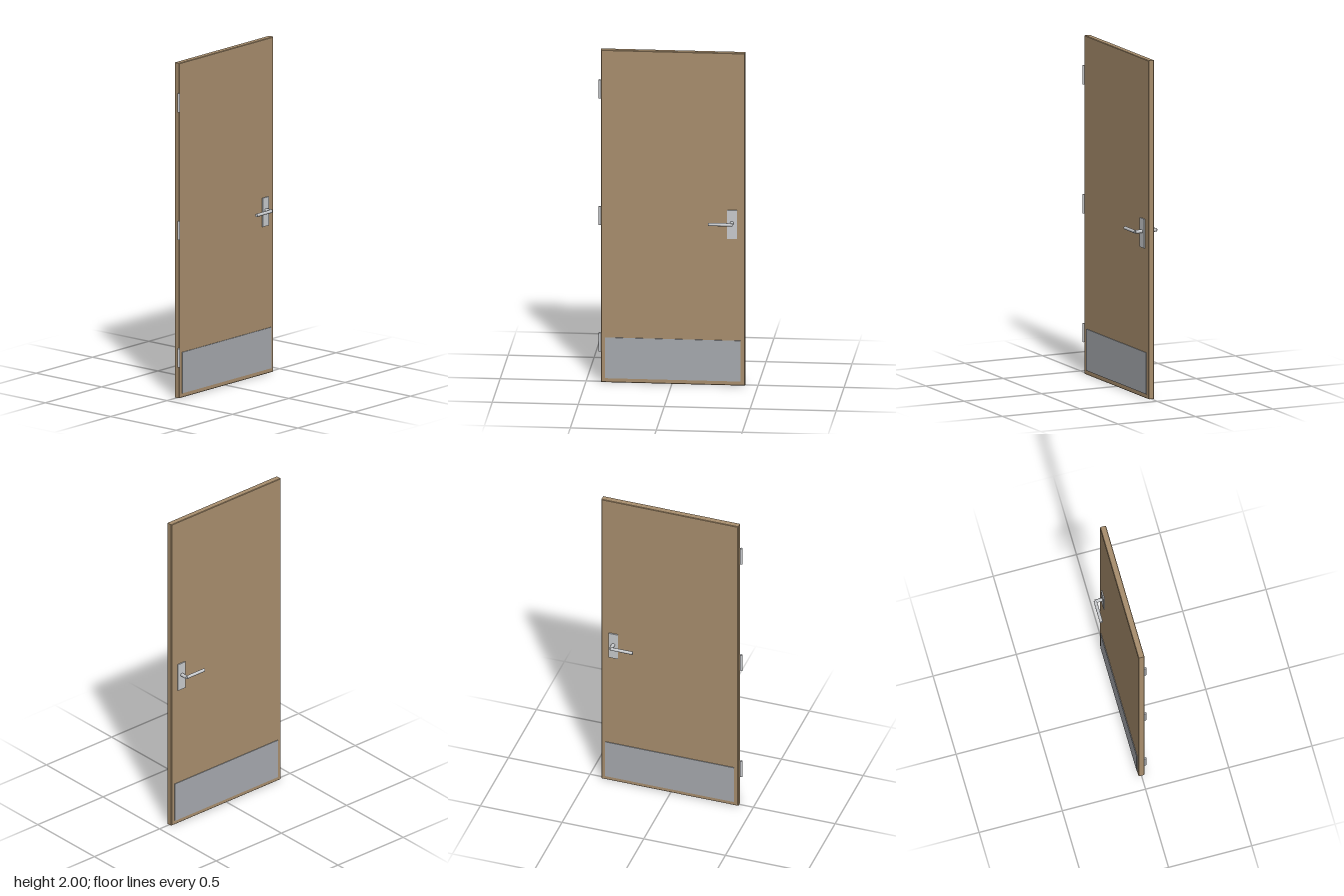
import * as THREE from 'three';

const material = (name, color) => {
  const m = new THREE.MeshStandardMaterial({ color });
  m.name = name;
  return m;
};

export function createModel() {
  const wood = material('wood', 0xa88e6d);
  const plateSteel = material('brushed steel', 0xa6a9ae);
  const satin = material('satin metal', 0xc8cacd);

  const door = new THREE.Group();
  door.name = 'door';

  const add = (parent, name, geometry, mat, x, y, z) => {
    const mesh = new THREE.Mesh(geometry, mat);
    mesh.name = name;
    mesh.position.set(x, y, z);
    parent.add(mesh);
    return mesh;
  };

  // Door leaf with a small chamfer round both faces
  const left = -0.413, right = 0.425, half = 0.018, c = 0.003;
  const outline = new THREE.Shape([
    new THREE.Vector2(left + c, c),
    new THREE.Vector2(right - c, c),
    new THREE.Vector2(right - c, 2 - c),
    new THREE.Vector2(left + c, 2 - c),
  ]);
  const leaf = new THREE.ExtrudeGeometry(outline, {
    depth: 2 * (half - c), bevelEnabled: true, bevelSize: c, bevelThickness: c, bevelSegments: 1,
  });
  add(door, 'leaf', leaf, wood, 0, 0, -(half - c));

  // Kick plate, lock plate and lever on each face
  for (const side of [1, -1]) {
    const face = side > 0 ? 'front' : 'back';
    add(door, face + 'KickPlate', new THREE.BoxGeometry(0.788, 0.245, 0.004),
      plateSteel, 0.006, 0.148, side * (half + 0.002));
    add(door, face + 'LockPlate', new THREE.BoxGeometry(0.057, 0.172, 0.007),
      satin, 0.35, 0.97, side * (half + 0.0035));

    const handle = new THREE.Group();
    handle.name = face + 'Handle';
    handle.position.set(0.35, 0.98, 0);
    door.add(handle);
    const neck = add(handle, 'neck', new THREE.CylinderGeometry(0.0105, 0.0105, 0.045, 16),
      satin, 0, 0, side * 0.0455);
    neck.rotation.x = Math.PI / 2;
    const lever = add(handle, 'lever', new THREE.CylinderGeometry(0.0095, 0.0095, 0.134, 16),
      satin, -0.067, 0, side * 0.067);
    lever.rotation.z = Math.PI / 2;
  }

  // Hinge barrels along the left edge of the front face
  for (const y of [0.243, 1.004, 1.766]) {
    add(door, 'hinge', new THREE.CylinderGeometry(0.007, 0.007, 0.112, 16), satin, -0.419, y, 0.02);
  }

  return door;
}
